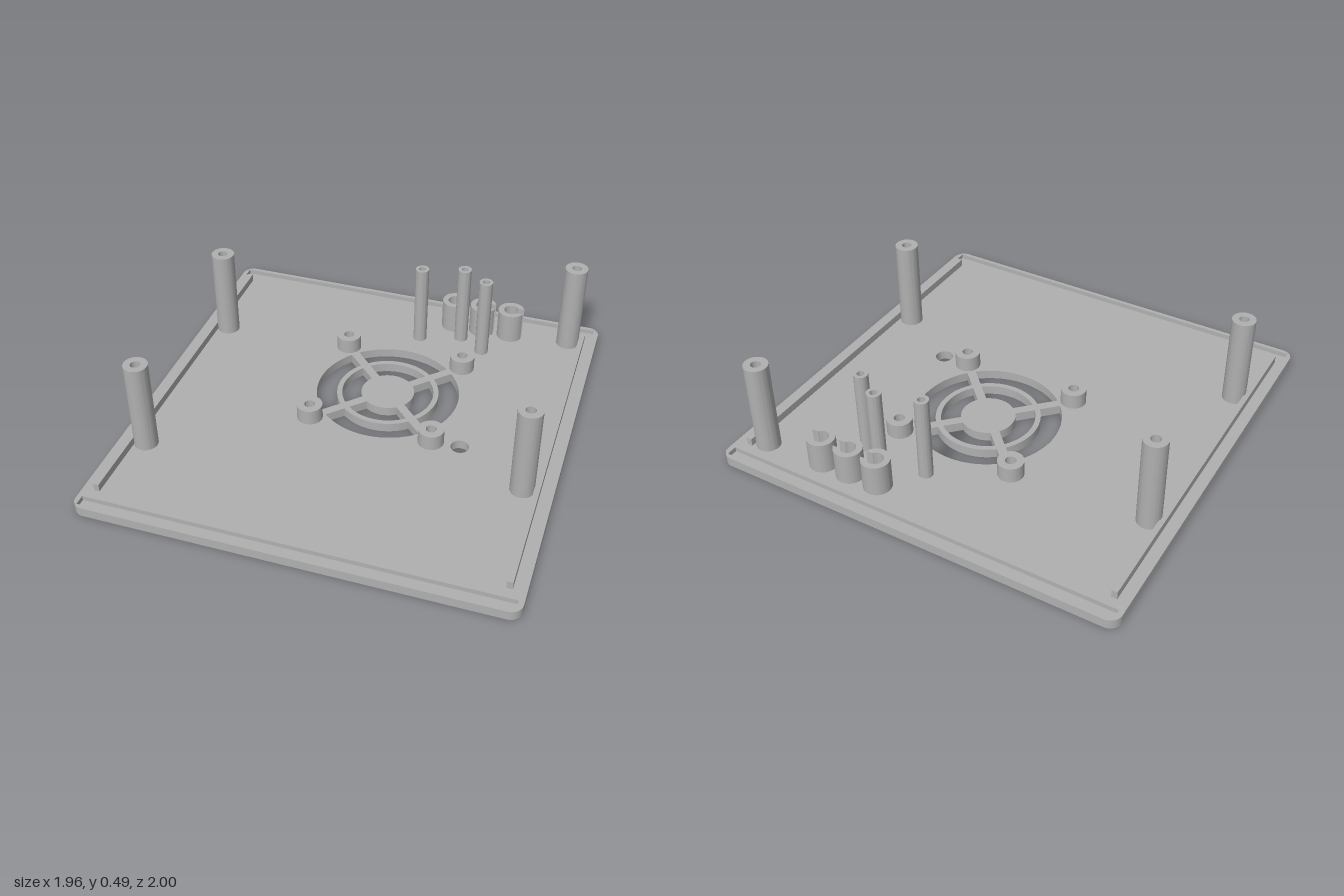
import * as THREE from 'three';
import { toCreasedNormals } from 'three/addons/utils/BufferGeometryUtils.js';

const TOP = 0.045, FLOOR = 0.022;
const FAN = [0.0875, -0.172];
const POSTS = [[-0.85, -0.43], [-0.85, 0.525], [0.84, -0.835], [0.84, 0.305]];
const FAN_BOSSES = [[-0.205, -0.465], [0.38, -0.465], [-0.205, 0.12], [0.38, 0.12]];
const BUTTONS = [[0.255, -0.815], [0.4, -0.815], [0.545, -0.815]];
const LEDS = [[0.115, -0.65], [0.315, -0.71], [0.44, -0.63]];

// Plans are drawn with shape y = -z, then stood upright
function circle(Type, x, z, r) {
  return new Type().absarc(x, -z, r, 0, Math.PI * 2, false);
}

function rect(x0, x1, z0, z1) {
  return new THREE.Path([[x0, -z0], [x1, -z0], [x1, -z1], [x0, -z1]]
    .map(p => new THREE.Vector2(...p))).closePath();
}

function roundedPlan(w, d, r) {
  const s = new THREE.Shape();
  [[1, 1], [-1, 1], [-1, -1], [1, -1]].forEach(([sx, sy], i) =>
    s.absarc(sx * (w - r), sy * (d - r), r, i * Math.PI / 2, (i + 1) * Math.PI / 2, false));
  return s.closePath();
}

// One opening of the fan grille between two diagonal struts
function grilleOpening(k, r0, r1, strut) {
  const a = k * Math.PI / 2 - Math.PI / 4, b = a + Math.PI / 2;
  const o0 = Math.asin(strut / 2 / r0), o1 = Math.asin(strut / 2 / r1);
  return new THREE.Path()
    .absarc(FAN[0], -FAN[1], r1, a + o1, b - o1, false)
    .absarc(FAN[0], -FAN[1], r0, b - o0, a + o0, true)
    .closePath();
}

const BTN = { outer: 0.065, inner: 0.037, slot: 0.021 };

// Button hole with a slot reaching towards +x
function keyhole(x, z) {
  const a = Math.asin(BTN.slot / BTN.inner);
  return new THREE.Path()
    .absarc(x, -z, BTN.inner, a, Math.PI * 2 - a, false)
    .lineTo(x + 0.062, -z - BTN.slot)
    .lineTo(x + 0.062, -z + BTN.slot)
    .closePath();
}

// Tube wall with the same slot
function slottedRing(x, z) {
  const a = Math.asin(BTN.slot / BTN.outer), b = Math.asin(BTN.slot / BTN.inner);
  return new THREE.Shape()
    .absarc(x, -z, BTN.outer, a, Math.PI * 2 - a, false)
    .absarc(x, -z, BTN.inner, Math.PI * 2 - b, b, true)
    .closePath();
}

export function createModel() {
  const group = new THREE.Group();
  group.name = 'fanCoverPanel';
  const grey = new THREE.MeshStandardMaterial({ color: 0xb0b0b0 });
  grey.name = 'grey plastic';

  function extrude(name, shape, y0, y1) {
    const geo = new THREE.ExtrudeGeometry(shape, { depth: y1 - y0, bevelEnabled: false, curveSegments: 32 });
    geo.rotateX(-Math.PI / 2).translate(0, y0, 0);
    const mesh = new THREE.Mesh(toCreasedNormals(geo, 0.6), grey);
    mesh.name = name;
    group.add(mesh);
  }

  function tube(name, [x, z], outer, inner, height) {
    const s = circle(THREE.Shape, x, z, outer);
    s.holes.push(circle(THREE.Path, x, z, inner));
    extrude(name, s, TOP, height);
  }

  // Base plate in two layers, the upper one cut by the end grooves
  function plateShape() {
    const s = roundedPlan(0.98, 1, 0.055);
    for (let k = 0; k < 4; k++) {
      s.holes.push(grilleOpening(k, 0.127, 0.219, 0.042), grilleOpening(k, 0.244, 0.342, 0.042));
    }
    FAN_BOSSES.forEach(([x, z]) => s.holes.push(circle(THREE.Path, x, z, 0.025)));
    LEDS.forEach(([x, z]) => s.holes.push(circle(THREE.Path, x, z, 0.017)));
    BUTTONS.forEach(([x, z]) => s.holes.push(keyhole(x, z)));
    s.holes.push(circle(THREE.Path, 0.515, 0.115, 0.042)); // cable hole
    return s;
  }
  extrude('plateBottom', plateShape(), 0, FLOOR);
  const upper = plateShape();
  for (const z of [-0.955, 0.955]) upper.holes.push(rect(-0.957, 0.955, z - 0.025, z + 0.025));
  extrude('plateTop', upper, FLOOR, TOP);

  // Side rails
  for (const x of [-0.913, 0.908]) {
    const rail = new THREE.Mesh(new THREE.BoxGeometry(0.026, 0.037, 1.765), grey);
    rail.name = 'sideRail';
    rail.position.set(x, TOP + 0.0185, -0.002);
    group.add(rail);
  }

  // Screw posts, fan bosses, light tubes and button guides
  POSTS.forEach(p => tube('screwPost', p, 0.055, 0.023, 0.49));
  FAN_BOSSES.forEach(p => tube('fanBoss', p, 0.06, 0.025, 0.12));
  LEDS.forEach(p => tube('lightTube', p, 0.033, 0.017, 0.457));
  BUTTONS.forEach(([x, z]) => extrude('buttonGuide', slottedRing(x, z), TOP, 0.197));

  return group;
}
